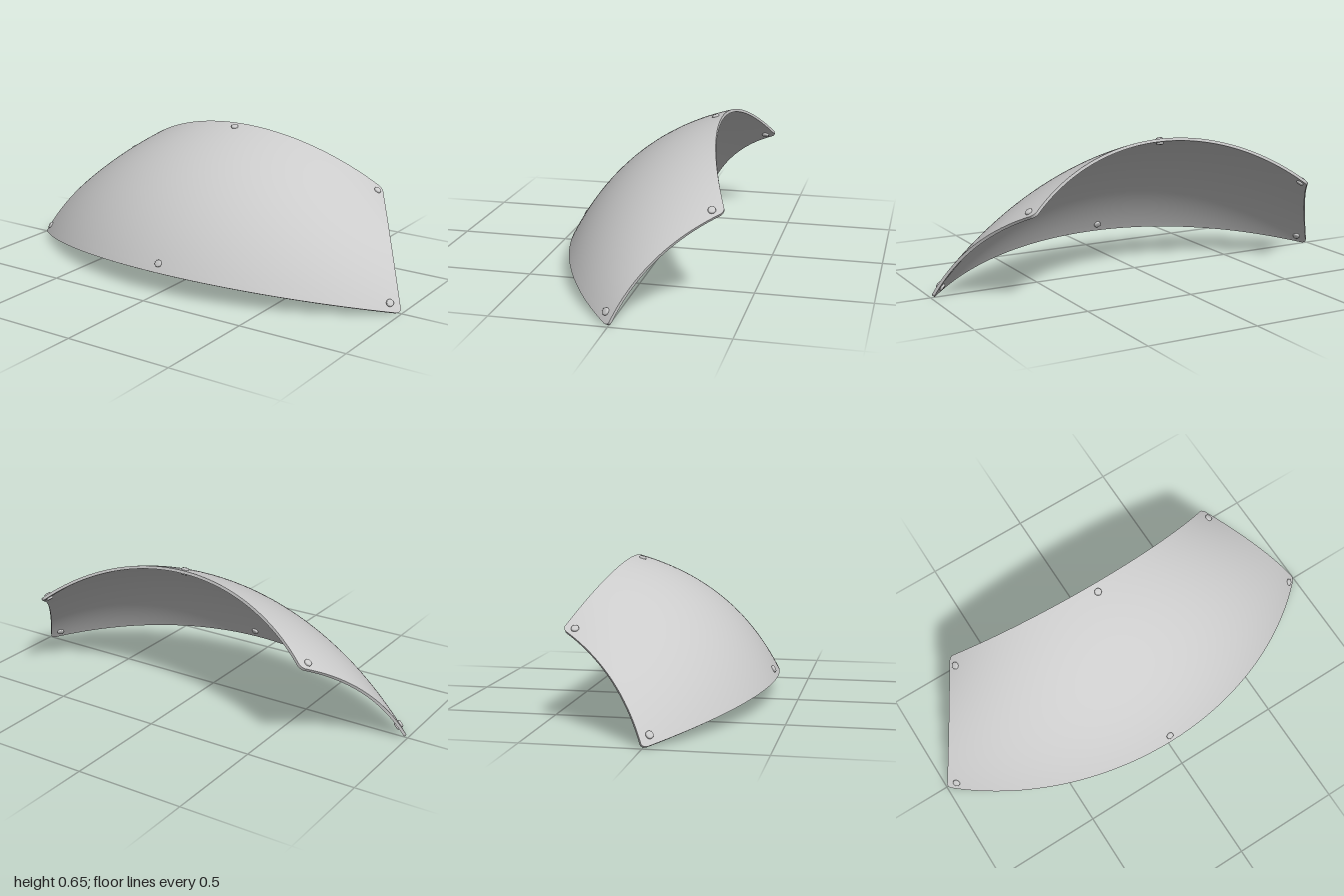
import * as THREE from 'three';

const V = (x, y, z) => new THREE.Vector3(x, y, z);
const THICK = 0.013, CORNER = 0.025, NU = 72, NV = 36, NC = 6;

// Point on a bowed line from a to b; bow is the offset at its middle.
const bowed = (a, b, bow, t) => a.clone().lerp(b, t).addScaledVector(bow, 4 * t * (1 - t));

// Outer skin: u runs -1..1 across, v runs 0..1 from lower to upper edge.
// Every row is a circular arc through the centre profile and both side edges.
function skin(u, v) {
  const c = bowed(V(0, 0.107, 0.405), V(0, 0.655, -0.265), V(0, 0.0735, 0.06), v);
  const e = bowed(V(1, 0.008, 0.002), V(0.69, 0.415, -0.405), V(0.018, 0.04, 0.045), v);
  const sagDir = V(0, e.y - c.y, e.z - c.z);
  const sag = sagDir.length();
  const r = (e.x * e.x + sag * sag) / (2 * sag);
  const a = u * Math.asin(e.x / r);
  const p = c.addScaledVector(sagDir.normalize(), r * (1 - Math.cos(a)));
  p.x = r * Math.sin(a);
  return p;
}

function skinNormal(u, v) {
  const h = 0.001;
  const du = skin(u + h, v).sub(skin(u - h, v));
  const dv = skin(u, v + h).sub(skin(u, v - h));
  return du.cross(dv).normalize();
}

const shellPoint = (u, v, depth) => skin(u, v).addScaledVector(skinNormal(u, v), -depth);

// Rows of the shell: v and half width, pulled in at both ends to round the corners.
function makeRows() {
  const end = [];
  for (let k = 0; k <= NC; k++) {
    const a = (k / NC) * Math.PI / 2;
    end.push({ d: CORNER * (1 - Math.cos(a)) / 0.75, w: 1 - CORNER * (1 - Math.sin(a)) });
  }
  const rows = end.map(({ d, w }) => ({ v: d, w }));
  const v0 = end[NC].d;
  for (let j = 1; j < NV; j++) rows.push({ v: v0 + (1 - 2 * v0) * j / NV, w: 1 });
  end.reverse().forEach(({ d, w }) => rows.push({ v: 1 - d, w }));
  return rows;
}

// Grid surface over nx by ny cells, facing along dP/di x dP/dj.
function grid(nx, ny, point, flip = false) {
  const pos = [], idx = [];
  for (let j = 0; j <= ny; j++)
    for (let i = 0; i <= nx; i++) pos.push(...point(i, j).toArray());
  for (let j = 0; j < ny; j++)
    for (let i = 0; i < nx; i++) {
      const a = j * (nx + 1) + i, b = a + 1, d = a + nx + 1, c = d + 1;
      if (flip) idx.push(a, c, b, a, d, c);
      else idx.push(a, b, c, a, c, d);
    }
  const g = new THREE.BufferGeometry();
  g.setAttribute('position', new THREE.Float32BufferAttribute(pos, 3));
  g.setIndex(idx);
  g.computeVertexNormals();
  return g;
}

export function createModel() {
  const model = new THREE.Group();
  model.name = 'visorShield';
  const material = new THREE.MeshStandardMaterial({ color: 0xcccccc });
  const add = (geometry, name) => {
    const mesh = new THREE.Mesh(geometry, material);
    mesh.name = name;
    model.add(mesh);
    return mesh;
  };

  // Outer and inner skins
  const rows = makeRows(), last = rows.length - 1;
  const across = (i, j) => rows[j].w * (2 * i / NU - 1);
  add(grid(NU, last, (i, j) => shellPoint(across(i, j), rows[j].v, 0)), 'outerSkin');
  add(grid(NU, last, (i, j) => shellPoint(across(i, j), rows[j].v, THICK), true), 'innerSkin');

  // Rim closing the gap between the skins, counterclockwise round the edge
  const loop = [];
  for (let i = 0; i < NU; i++) loop.push([i, 0]);
  for (let j = 0; j < last; j++) loop.push([NU, j]);
  for (let i = NU; i > 0; i--) loop.push([i, last]);
  for (let j = last; j >= 0; j--) loop.push([0, j]);
  add(grid(loop.length - 1, 1, (k, q) => {
    const [i, j] = loop[k];
    return shellPoint(across(i, j), rows[j].v, q ? 0 : THICK);
  }), 'rim');

  // Rivets through the shell, with softly bevelled heads on both sides
  const half = 0.016;
  const profile = [[0, -half], [0.011, -half], [0.015, -half + 0.002], [0.0165, -half + 0.005],
    [0.0165, half - 0.005], [0.015, half - 0.002], [0.011, half], [0, half]]
    .map(([x, y]) => new THREE.Vector2(x, y));
  const rivet = new THREE.LatheGeometry(profile, 24);
  const places = [[0, 0.045], [0, 0.957]];
  for (const s of [-1, 1]) places.push([s * 0.957, 0.06], [s * 0.955, 0.93]);
  for (const [u, v] of places) {
    const mesh = add(rivet, 'rivet');
    mesh.position.copy(shellPoint(u, v, THICK / 2));
    mesh.quaternion.setFromUnitVectors(V(0, 1, 0), skinNormal(u, v));
  }
  return model;
}
